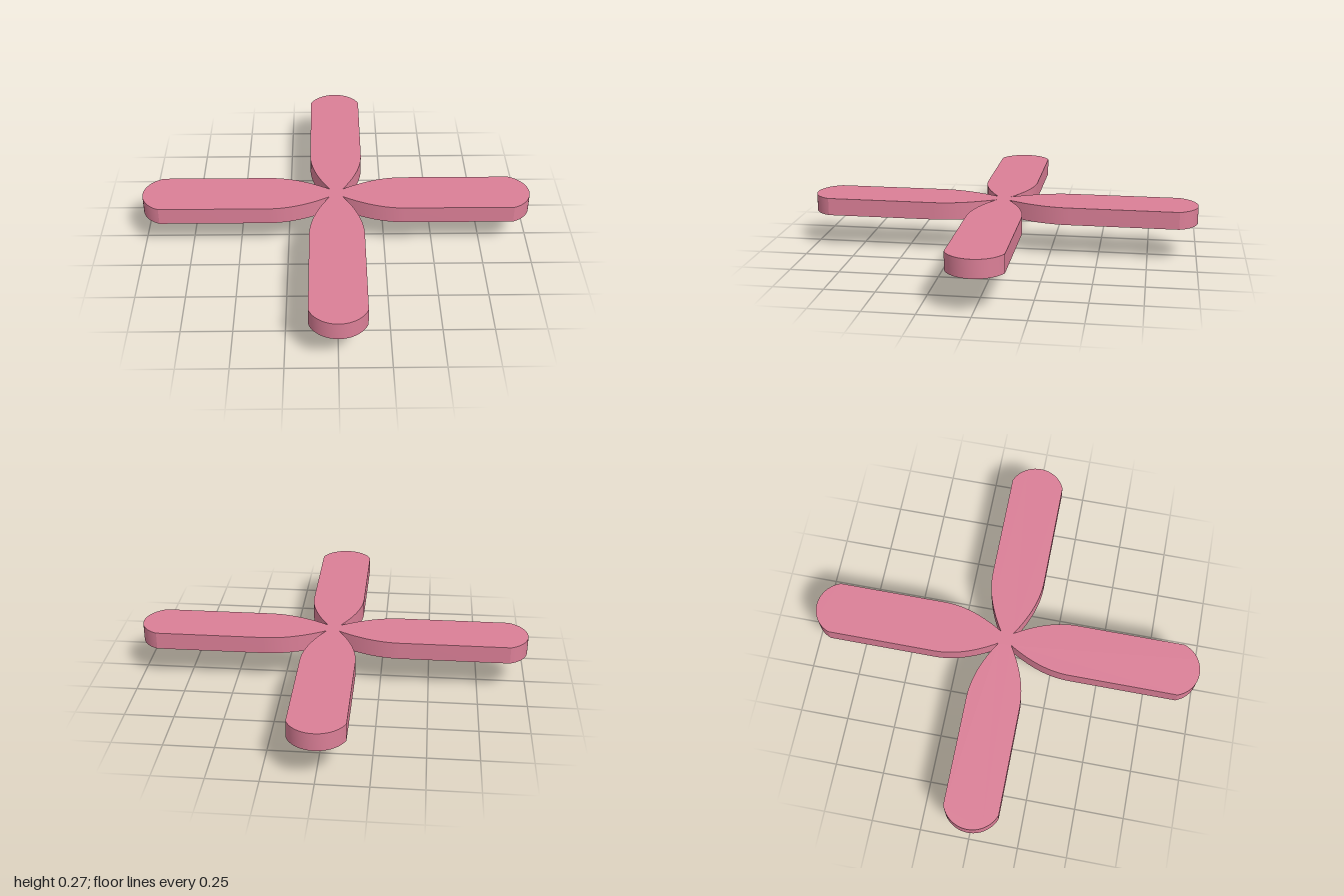
import * as THREE from 'three';
import { toCreasedNormals } from 'three/addons/utils/BufferGeometryUtils.js';

const HALF_WIDTH = 0.137, NOTCH = 0.033, SHOULDER = 0.905;
const BOTTOM = 0.18, TOP = 0.27;

// Outline of one arm along +x, counter-clockwise from one notch towards the next
function armOutline() {
  const taper = new THREE.QuadraticBezierCurve(
    new THREE.Vector2(NOTCH, -NOTCH),
    new THREE.Vector2(0.2, -HALF_WIDTH),
    new THREE.Vector2(0.35, -HALF_WIDTH)
  ).getPoints(14);
  const sagitta = 1 - SHOULDER;
  const radius = (HALF_WIDTH ** 2 + sagitta ** 2) / (2 * sagitta);
  const half = Math.asin(HALF_WIDTH / radius);
  const tip = new THREE.EllipseCurve(1 - radius, 0, radius, radius, -half, half).getPoints(24);
  // the last taper point is the notch shared with the next arm
  const back = taper.slice(1).reverse().map((p) => new THREE.Vector2(p.x, -p.y));
  return [...taper, ...tip, ...back];
}

export function createModel() {
  const model = new THREE.Group();
  const bladeMaterial = new THREE.MeshStandardMaterial({ color: 0xdb7f97 });
  const stemMaterial = new THREE.MeshStandardMaterial({ color: 0xdba79d });

  // Four arms joined at the hub in a single flat slab
  const centre = new THREE.Vector2();
  const outline = [];
  for (let i = 0; i < 4; i++) {
    for (const p of armOutline()) outline.push(p.rotateAround(centre, i * Math.PI / 2));
  }
  const slab = new THREE.ExtrudeGeometry(new THREE.Shape(outline), {
    depth: TOP - BOTTOM, bevelEnabled: false
  });
  slab.rotateX(-Math.PI / 2).translate(0, BOTTOM, 0);
  const blades = new THREE.Mesh(toCreasedNormals(slab, 0.25), bladeMaterial);
  blades.name = 'propellerBlades';
  model.add(blades);

  // Round shaft with a slightly bevelled foot
  const profile = [[0, 0], [0.029, 0], [0.035, 0.008], [0.035, 0.19], [0, 0.19]]
    .map(([x, y]) => new THREE.Vector2(x, y));
  const shaft = new THREE.Mesh(
    toCreasedNormals(new THREE.LatheGeometry(profile, 32), 0.5), stemMaterial);
  shaft.name = 'shaft';
  model.add(shaft);

  return model;
}
